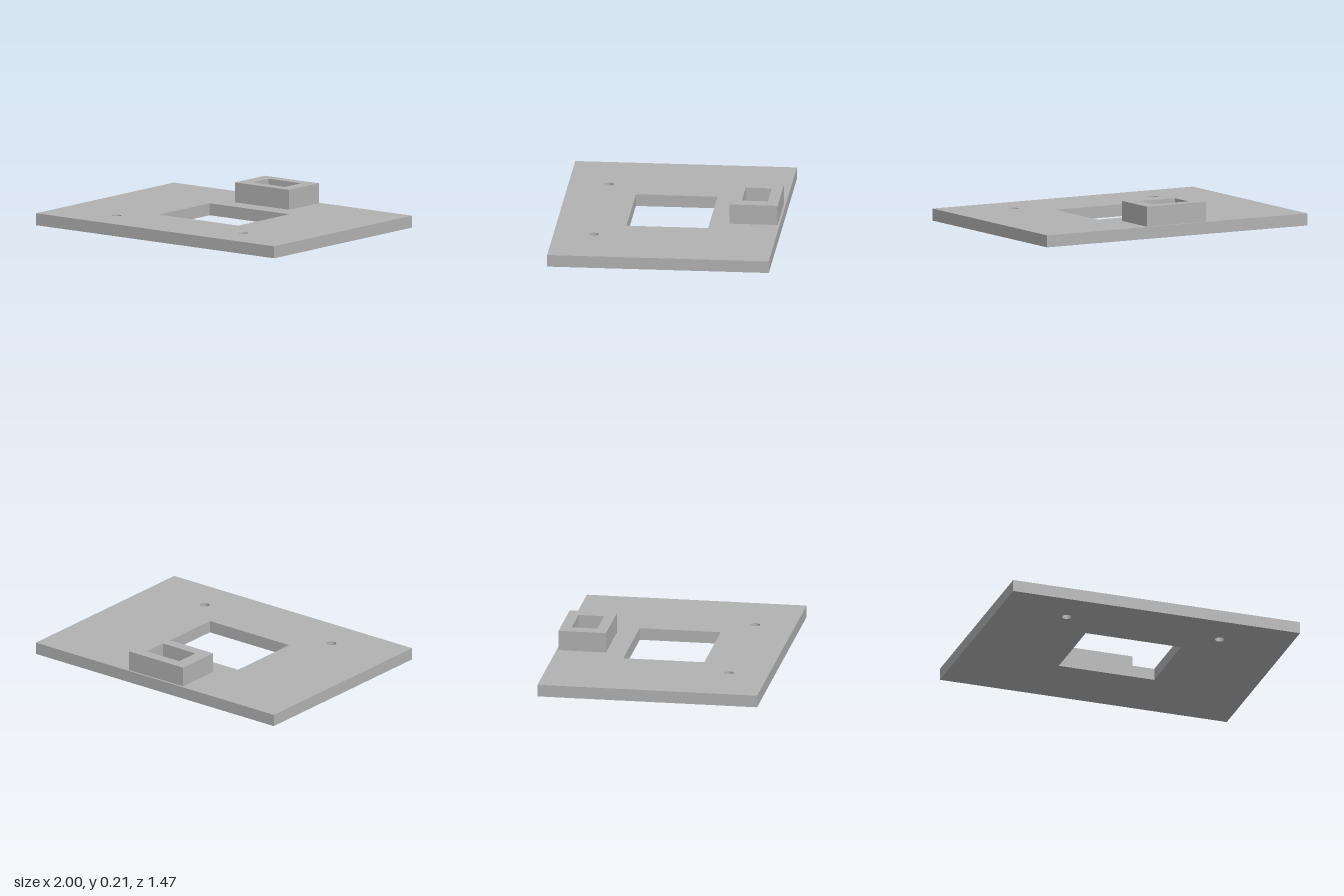
import * as THREE from 'three';

// Rectangle outline; the shape's y axis becomes -z once laid flat
function rect(Type, halfX, zBack, zFront) {
  const p = new Type();
  p.moveTo(-halfX, -zFront);
  p.lineTo(halfX, -zFront);
  p.lineTo(halfX, -zBack);
  p.lineTo(-halfX, -zBack);
  p.closePath();
  return p;
}

// Extrude a flat outline upwards from y0 to y1
function slab(name, shape, y0, y1, material) {
  const geo = new THREE.ExtrudeGeometry(shape, {
    depth: y1 - y0, bevelEnabled: false, curveSegments: 24,
  });
  geo.rotateX(-Math.PI / 2);
  geo.translate(0, y0, 0);
  const mesh = new THREE.Mesh(geo, material);
  mesh.name = name;
  return mesh;
}

export function createModel() {
  const grey = new THREE.MeshStandardMaterial({ color: 0xb2b2b2 });
  grey.name = 'grey';
  const plateTop = 0.08;

  // Base plate with a central window and two screw holes
  const plate = rect(THREE.Shape, 1, -0.733, 0.733);
  plate.holes.push(rect(THREE.Path, 0.333, -0.27, 0.27));
  for (const side of [-1, 1]) {
    const hole = new THREE.Path();
    hole.absarc(side * 0.533, -0.467, 0.032, 0, Math.PI * 2, true);
    plate.holes.push(hole);
  }

  // Raised socket at the back, open on top with the plate as its floor
  const socket = rect(THREE.Shape, 0.227, -0.72, -0.403);
  socket.holes.push(rect(THREE.Path, 0.137, -0.647, -0.475));

  const group = new THREE.Group();
  group.name = 'mountingPlate';
  group.add(
    slab('basePlate', plate, 0, plateTop, grey),
    slab('socket', socket, plateTop, 0.213, grey),
  );
  return group;
}
